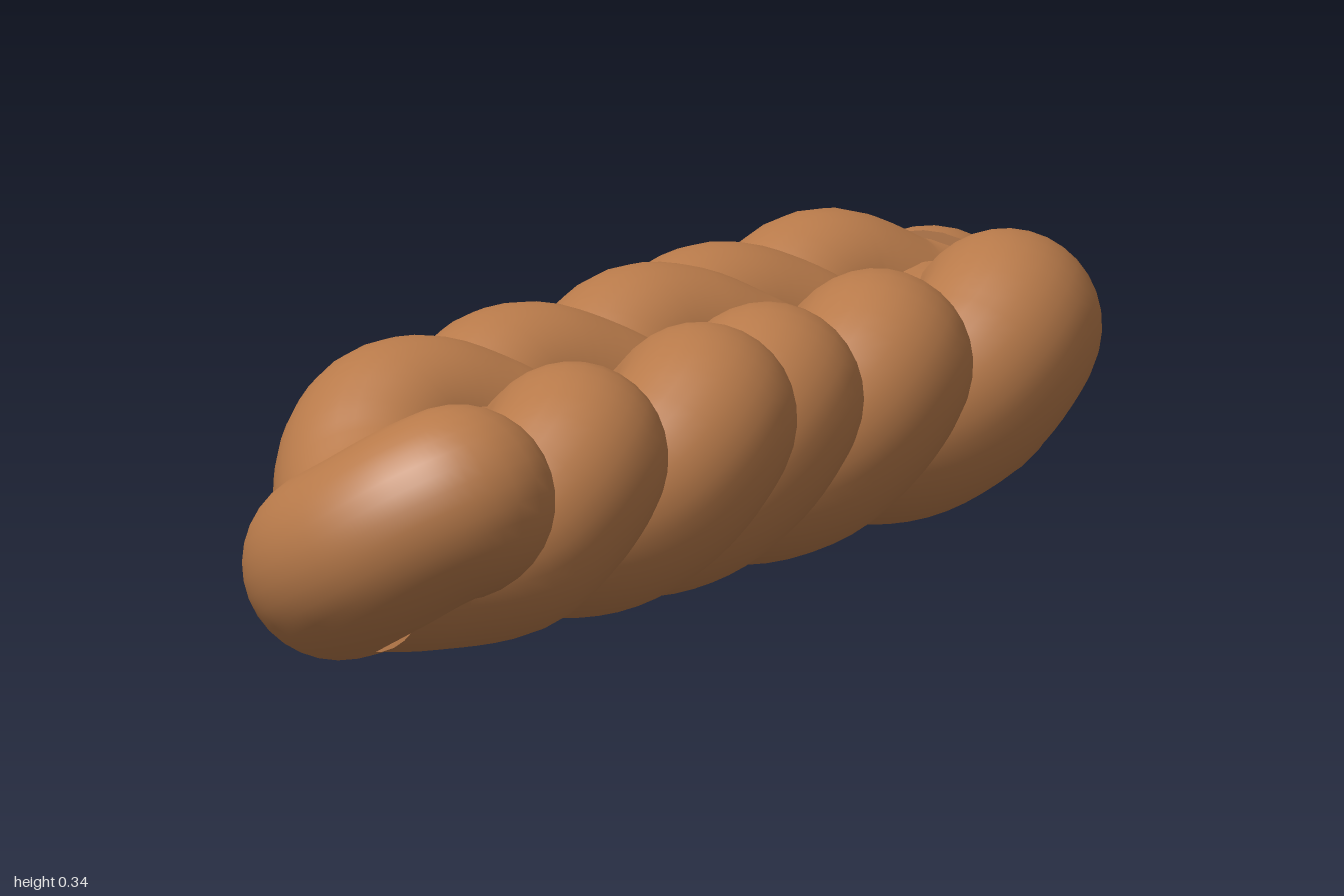
import * as THREE from 'three';

const HALF = 0.425;   // length of one swing from side to side
const SWING = 0.149, LIFT = 0.051, MID = 0.177, RADIUS = 0.115;

const crust = new THREE.MeshStandardMaterial({ color: 0xb87a4a });
crust.name = 'goldenCrust';

// Points of a braided strand whose left-most swing (-x) lies at z = peak
function braid(peak, from, to) {
  const pts = [];
  const n = Math.ceil((to - from) / 0.05);
  for (let i = 0; i <= n; i++) {
    const z = from + (to - from) * i / n;
    const t = 1.5 * Math.PI + (z - peak) / HALF * Math.PI;
    pts.push([SWING * Math.sin(t), MID + LIFT * Math.sin(2 * t - 0.7), z]);
  }
  return pts;
}

// Round rope of dough along the points, closed with flat ends
function rope(name, points, radius = RADIUS) {
  const group = new THREE.Group();
  group.name = name;
  const path = new THREE.CatmullRomCurve3(points.map(p => new THREE.Vector3(...p)));
  const body = new THREE.Mesh(new THREE.TubeGeometry(path, 140, radius, 32), crust);
  body.name = name + 'Body';
  group.add(body);
  for (const [u, s] of [[0, -1], [1, 1]]) {
    const cap = new THREE.Mesh(new THREE.CircleGeometry(radius, 32), crust);
    cap.name = name + 'End';
    const dir = path.getTangentAt(u).multiplyScalar(s);
    cap.quaternion.setFromUnitVectors(new THREE.Vector3(0, 0, 1), dir);
    cap.position.copy(path.getPointAt(u));
    group.add(cap);
  }
  return group;
}

export function createModel() {
  const model = new THREE.Group();
  model.name = 'braidedLoaf';

  // Three interlaced strands
  model.add(rope('firstStrand', [
    [-0.055, 0.185, -0.86], [-0.075, 0.19, -0.8], ...braid(-0.665, -0.73, 0.7),
    [0.045, 0.135, 0.77], [0.01, 0.14, 0.84]]));
  model.add(rope('secondStrand', [
    [0.0, 0.14, -0.86], [0.03, 0.165, -0.79], ...braid(-0.175, -0.72, 0.48),
    [-0.05, 0.127, 0.6], [-0.062, 0.118, 0.7]]));
  model.add(rope('thirdStrand', [
    [0.0, 0.17, -0.76], [0.035, 0.168, -0.68], ...braid(-0.36, -0.58, 0.66),
    [0.015, 0.155, 0.72], [0.075, 0.19, 0.785], [0.118, 0.212, 0.85]]));

  // Front end: strand folded round and tucked back under
  model.add(rope('frontLoop', [
    [0.025, 0.16, 0.73], [0.085, 0.195, 0.79], [0.125, 0.215, 0.855], [0.09, 0.197, 0.88],
    [0.03, 0.162, 0.885], [-0.03, 0.132, 0.85], [-0.058, 0.12, 0.77], [-0.063, 0.117, 0.68]], 0.116));

  // Back end: strand folded over and tucked underneath
  model.add(rope('backFold', [
    [-0.05, 0.19, -0.82], [-0.055, 0.19, -0.85], [-0.05, 0.175, -0.878],
    [-0.02, 0.145, -0.872], [-0.005, 0.124, -0.83], [0.0, 0.12, -0.74]], 0.12));
  return model;
}
